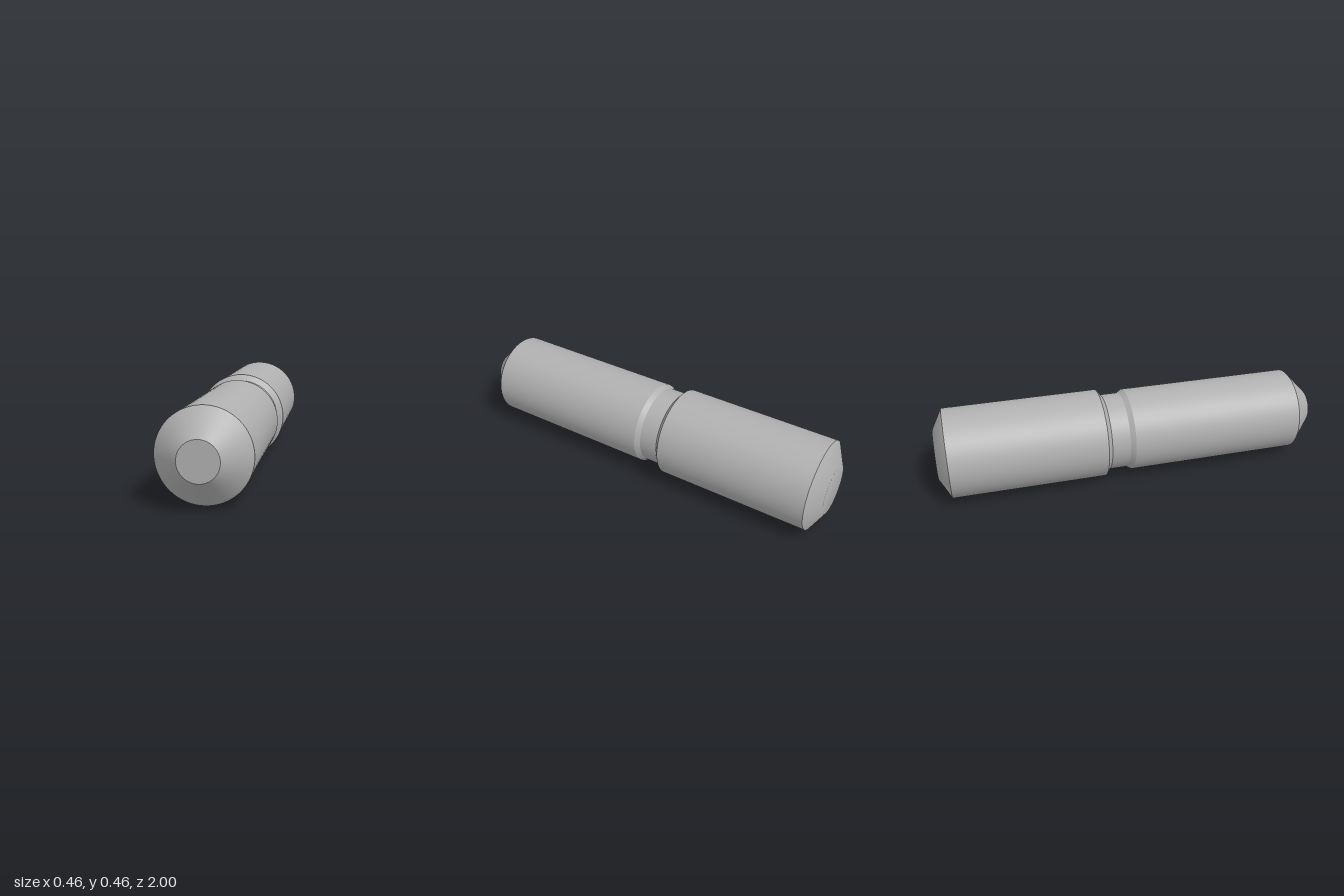
import * as THREE from 'three';

const AXIS_Y = 0.228;
const SEGMENTS = 96;

export function createModel() {
  const pin = new THREE.Group();
  pin.name = 'groovedPin';
  const steel = new THREE.MeshStandardMaterial({ color: 0xb0b0b0 });
  steel.name = 'steelGrey';

  // Turned section: [radius, z] pairs from back to front, smooth within a section
  const turned = (name, profile) => {
    const points = profile.map(([r, z]) => new THREE.Vector2(r, z));
    const geometry = new THREE.LatheGeometry(points, SEGMENTS);
    geometry.rotateX(Math.PI / 2);
    const mesh = new THREE.Mesh(geometry, steel);
    mesh.name = name;
    mesh.position.y = AXIS_Y;
    pin.add(mesh);
  };

  // Thick rear half with its shallow end
  turned('rearEnd', [[0, -1], [0.125, -1], [0.228, -0.945]]);
  turned('rearShaft', [[0.228, -0.945], [0.228, -0.16]]);

  // Groove between the halves
  turned('grooveRearChamfer', [[0.228, -0.16], [0.197, -0.135]]);
  turned('grooveFloor', [[0.197, -0.135], [0.197, -0.04]]);
  turned('grooveFrontChamfer', [[0.197, -0.04], [0.213, -0.015]]);

  // Slimmer front half with a tapered, flat-ended tip
  turned('frontShaft', [[0.213, -0.015], [0.213, 0.885]]);
  turned('frontTaper', [[0.213, 0.885], [0.091, 1]]);
  turned('frontFace', [[0.091, 1], [0, 1]]);

  return pin;
}
